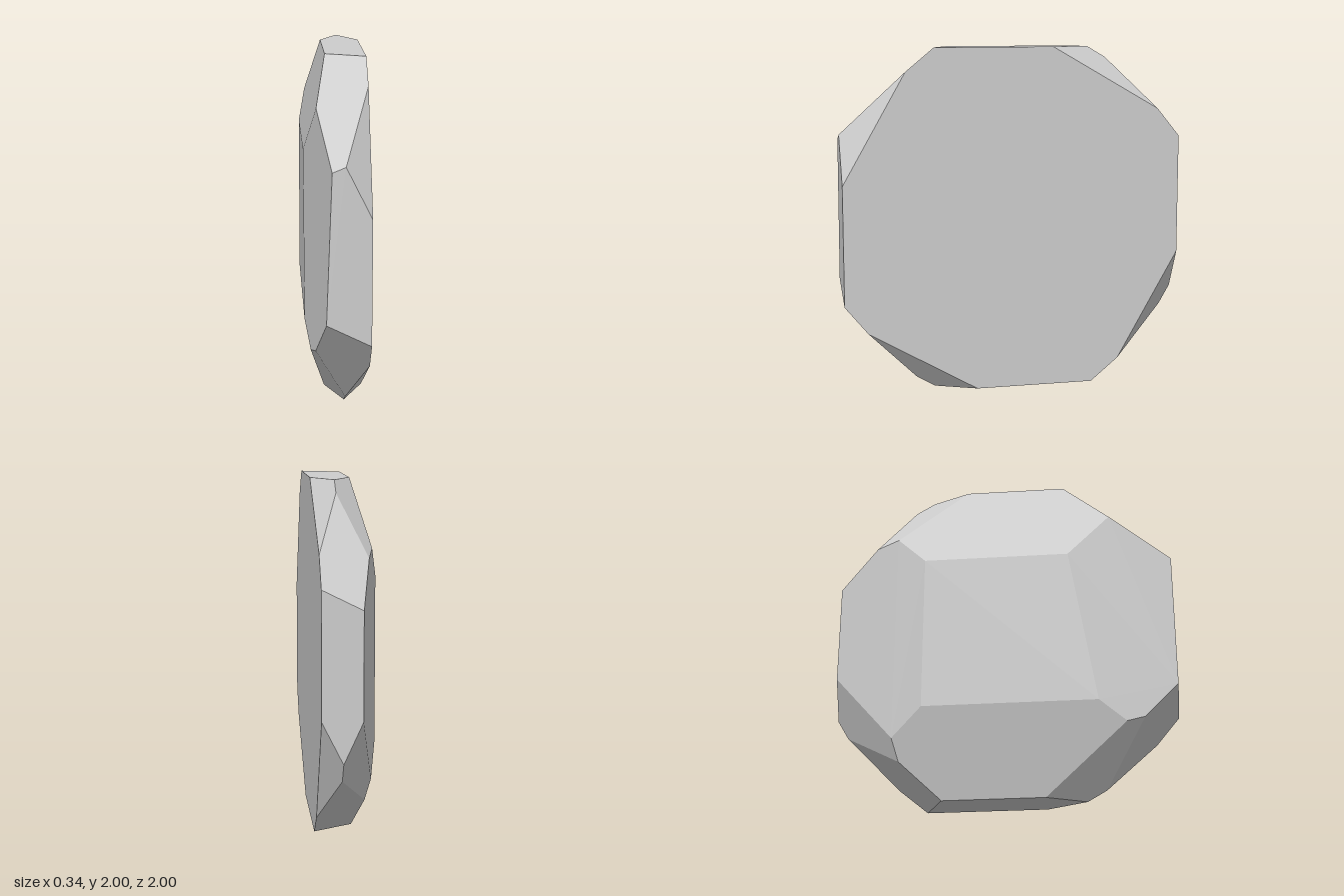
import * as THREE from 'three';

// Each cutting plane keeps the side where normal . point <= distance (centre at the origin).
const plane = (x, y, z, d) => ({ n: new THREE.Vector3(x, y, z), d });

// Quarter turn about the x axis, repeated k times.
function turned(p, k) {
  const n = p.n.clone();
  for (let i = 0; i < k; i++) n.set(n.x, n.z, -n.y);
  return { n, d: p.d };
}

function cuttingPlanes() {
  const rim = plane(0, 1, 0, 1);
  const bevel = plane(-0.52, 0.12, 0, 0.146);
  const corner = plane(-0.07, 0.17, 0.14, 0.2239);
  const cornerChip = plane(0.72, 0.36, 0.63, 0.8352);
  const backChip = plane(-0.131, 0.1, -0.06, 0.12035);

  // Flat faces, then the slightly skewed front bevel
  const planes = [
    plane(1, 0, 0, 0.172),
    plane(-1, 0, 0, 0.172),
    plane(-1, 0.036, 0.215, 0.2722),
  ];
  for (let k = 0; k < 4; k++) {
    planes.push(turned(rim, k), turned(corner, k), turned(cornerChip, k));
    if (k < 3) planes.push(turned(bevel, k), turned(backChip, k)); // the front has its own bevel
  }
  for (const p of planes) {
    const length = p.n.length();
    p.n.divideScalar(length);
    p.d /= length;
  }
  return planes;
}

// Point shared by three planes, or null if they are nearly parallel.
function meet(a, b, c) {
  const bc = b.n.clone().cross(c.n);
  const det = a.n.dot(bc);
  if (Math.abs(det) < 1e-5) return null;
  return bc.multiplyScalar(a.d)
    .addScaledVector(c.n.clone().cross(a.n), b.d)
    .addScaledVector(a.n.clone().cross(b.n), c.d)
    .divideScalar(det);
}

// Solid left over after all cuts, one flat polygon per plane.
function cutStone(planes) {
  const positions = [];
  const normals = [];
  for (const face of planes) {
    const points = [];
    for (let i = 0; i < planes.length; i++) {
      for (let j = i + 1; j < planes.length; j++) {
        if (planes[i] === face || planes[j] === face) continue;
        const p = meet(face, planes[i], planes[j]);
        if (!p || planes.some((q) => q.n.dot(p) > q.d + 1e-6)) continue;
        if (!points.some((q) => q.distanceTo(p) < 1e-4)) points.push(p);
      }
    }
    if (points.length < 3) continue;

    // Sort the corners counter-clockwise around the face centre
    const centre = new THREE.Vector3();
    points.forEach((p) => centre.add(p));
    centre.divideScalar(points.length);
    const u = points[0].clone().sub(centre).normalize();
    const v = face.n.clone().cross(u);
    const angle = (p) => {
      const r = p.clone().sub(centre);
      return Math.atan2(r.dot(v), r.dot(u));
    };
    points.sort((a, b) => angle(a) - angle(b));

    for (let i = 1; i < points.length - 1; i++) {
      for (const p of [points[0], points[i], points[i + 1]]) {
        positions.push(p.x, p.y, p.z);
        normals.push(face.n.x, face.n.y, face.n.z);
      }
    }
  }
  const geometry = new THREE.BufferGeometry();
  geometry.setAttribute('position', new THREE.Float32BufferAttribute(positions, 3));
  geometry.setAttribute('normal', new THREE.Float32BufferAttribute(normals, 3));
  return geometry;
}

export function createModel() {
  const group = new THREE.Group();
  group.name = 'stoneSlab';

  const grey = new THREE.MeshStandardMaterial({ color: 0xcccccc });
  grey.name = 'stone grey';

  // Faceted slab standing on its edge
  const slab = new THREE.Mesh(cutStone(cuttingPlanes()), grey);
  slab.name = 'facetedSlab';
  slab.position.y = 1;
  group.add(slab);
  return group;
}
